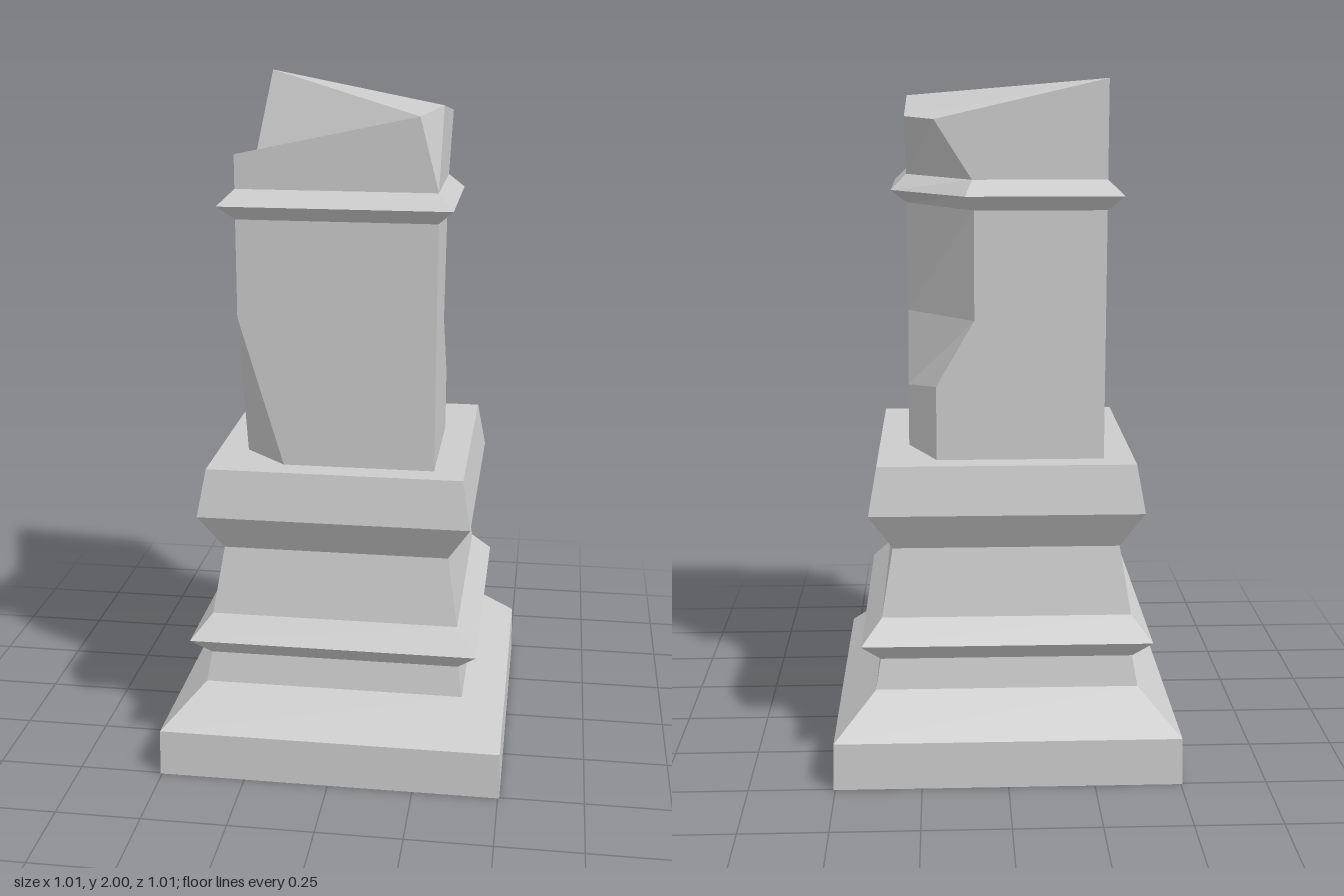
import * as THREE from 'three';

const stone = new THREE.MeshStandardMaterial({ color: 0xcccccc, side: THREE.DoubleSide });
stone.name = 'stone';

// Flat-shaded mesh from polygons; each polygon is fanned from its first corner
function facets(name, polygons) {
  const pos = [];
  for (const p of polygons) {
    for (let i = 1; i < p.length - 1; i++) pos.push(...p[0], ...p[i], ...p[i + 1]);
  }
  const g = new THREE.BufferGeometry();
  g.setAttribute('position', new THREE.Float32BufferAttribute(pos, 3));
  g.computeVertexNormals();
  const mesh = new THREE.Mesh(g, stone);
  mesh.name = name;
  return mesh;
}

// Side quads joining a stack of matching rings
function loft(rings) {
  const quads = [];
  for (let k = 0; k < rings.length - 1; k++) {
    const lo = rings[k], hi = rings[k + 1];
    lo.forEach((p, i) => {
      const j = (i + 1) % lo.length;
      quads.push([p, lo[j], hi[j], hi[i]]);
    });
  }
  return quads;
}

const square = (y, h) => [[-h, y, h], [h, y, h], [h, y, -h], [-h, y, -h]];
// Rectangle with the back corner at +x broken off
const broken = (y, hx, hz, zc, xc) =>
  [[-hx, y, hz], [hx, y, hz], [hx, y, zc], [xc, y, -hz], [-hx, y, -hz]];

const X = 0.283, Z = 0.3, Y0 = 0.925, Y1 = 1.64, Y2 = 1.725;

// Moulded pedestal, open underneath
function makePedestal() {
  const profile = [[0, 0.505], [0.14, 0.502], [0.255, 0.383], [0.345, 0.368], [0.402, 0.422],
    [0.47, 0.363], [0.67, 0.33], [0.785, 0.396], [Y0, 0.371]];
  const rings = profile.map(([y, h]) => square(y, h));
  return facets('pedestal', [...loft(rings), rings[rings.length - 1]]);
}

// Shaft with a small chip in front and a deep break at the back
function makeShaft() {
  const a = [-0.155, Y0, Z], b = [X, Y0, Z], c = [X, Y1, Z], d = [-X, Y1, Z];
  const chipTop = [-X, 1.36, Z], chipSide = [-X, Y0, 0.18];
  const n = [-X, Y0, -Z], e = [-X, Y1, -Z];
  // break outline on the side face, bottom to top
  const s0 = [X, Y0, -0.115], s1 = [X, 1.11, -0.115], s2 = [X, 1.31, 0.03], s3 = [X, Y1, -0.03];
  // break outline on the back face, bottom to top
  const r0 = [0.2, Y0, -Z], r1 = [0.2, 1.14, -Z], r2 = [0.09, 1.33, -Z], r3 = [0.09, Y1, -Z];
  return facets('shaft', [
    [a, b, c, d, chipTop], [chipSide, a, chipTop], [n, chipSide, chipTop, d, e],
    [s2, s3, c, b, s0, s1], [r2, r1, r0, n, e, r3],
    [s0, r0, r1, s1], [s1, r1, r2], [s1, r2, s2], [s2, r2, r3, s3],
  ]);
}

// Projecting collar, broken at the same corner
function makeCollar() {
  const rings = [broken(Y1, X, Z, -0.03, 0.09), broken(1.682, 0.327, 0.343, -0.105, 0.115),
    broken(Y2, X, Z, -0.06, 0.095)];
  return facets('collar', loft(rings));
}

// Jagged broken top
function makeCrown() {
  const [fl, fr, sc, bc, bl] = broken(Y2, X, Z, -0.06, 0.095);
  const peak = [-X, 2, -Z], dip = [-X, 1.77, 0], low = [-X, 1.82, Z];
  const tip = [0.23, 1.93, Z], side = [X, 1.945, 0.15];
  const cutSide = [X, 1.895, -0.21], cutBack = [0.2, 1.89, -Z];
  return facets('brokenCrown', [
    [fl, fr, tip, low], [fr, side, tip], [fr, sc, cutSide, side],
    [sc, bc, cutBack, cutSide], [bc, bl, peak, cutBack], [dip, peak, bl, fl, low],
    [peak, dip, tip], [dip, low, tip], [peak, tip, side], [peak, side, cutSide],
    [peak, cutSide, cutBack],
  ]);
}

export function createModel() {
  const group = new THREE.Group();
  group.name = 'brokenPillar';
  group.add(makePedestal(), makeShaft(), makeCollar(), makeCrown());
  return group;
}
